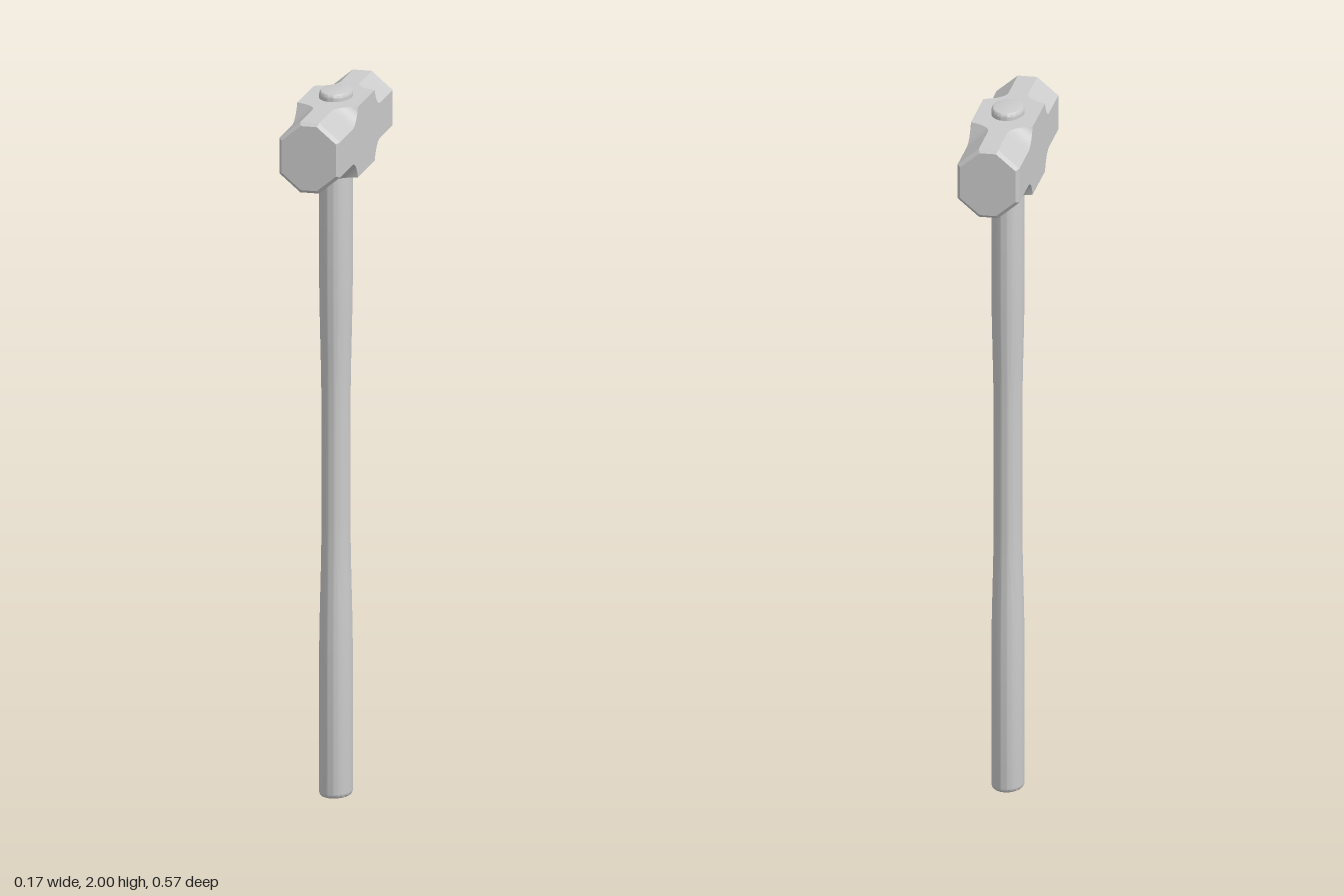
import * as THREE from 'three';
import { toCreasedNormals } from 'three/addons/utils/BufferGeometryUtils.js';

const HALF_W = 0.086, HALF_H = 0.1, HALF_L = 0.286, HEAD_Y = 1.88;
const CUT_X = 0.059, CUT_Y = 0.05; // full size of the corner chamfers

// Octagonal cross-section, counter-clockwise seen from +z; cut 0 gives a plain rectangle
function section(z, cut, inset = 0) {
  const w = HALF_W - inset, h = HALF_H - inset;
  const cx = CUT_X * cut - inset * 0.5, cy = CUT_Y * cut - inset * 0.5;
  return [
    [w, -h + cy], [w, h - cy], [w - cx, h], [-w + cx, h],
    [-w, h - cy], [-w, -h + cy], [-w + cx, -h], [w - cx, -h],
  ].map(([x, y]) => new THREE.Vector3(x, y, z));
}

// Half of the stations along the head: square middle, concave run-out, chamfered end
function headStations() {
  const list = [];
  const a0 = 0.42, steps = 10, zIn = 0.088, zOut = 0.146;
  for (let i = 0; i <= steps; i++) {
    const a = a0 + (Math.PI / 2 - a0) * i / steps;
    const z = zIn + (zOut - zIn) * (1 - Math.cos(a) / Math.cos(a0));
    list.push([z, (Math.sin(a) - Math.sin(a0)) / (1 - Math.sin(a0)), 0]);
  }
  list.push([HALF_L - 0.01, 1, 0], [HALF_L, 1, 0.009]);
  return list;
}

function headGeometry() {
  const half = headStations();
  const all = [...half.map(([z, c, i]) => [-z, c, i]).reverse(), ...half];
  const rings = all.map(s => section(...s));
  const pos = [];
  const tri = (a, b, c) => {
    const area = b.clone().sub(a).cross(c.clone().sub(a)).length();
    if (area > 1e-9) pos.push(...a.toArray(), ...b.toArray(), ...c.toArray());
  };
  for (let r = 0; r < rings.length - 1; r++) {
    const p = rings[r], q = rings[r + 1];
    for (let i = 0; i < 8; i++) {
      const j = (i + 1) % 8;
      tri(p[i], p[j], q[j]);
      tri(p[i], q[j], q[i]);
    }
  }
  // Striking faces
  const back = rings[0], front = rings[rings.length - 1];
  for (let i = 1; i < 7; i++) {
    tri(front[0], front[i], front[i + 1]);
    tri(back[0], back[i + 1], back[i]);
  }
  const geo = new THREE.BufferGeometry();
  geo.setAttribute('position', new THREE.Float32BufferAttribute(pos, 3));
  return toCreasedNormals(geo, 0.4);
}

// Oval shaft with a slimmer waist and rounded ends
function handleGeometry() {
  const pts = [new THREE.Vector2(0, 0)];
  const edge = 0.012, round = 0.14, n = 5;
  for (let i = 0; i <= n; i++) {
    const a = i / n * Math.PI / 2;
    pts.push(new THREE.Vector2(1 - round * (1 - Math.sin(a)), edge * (1 - Math.cos(a))));
  }
  const smooth = t => t * t * (3 - 2 * t);
  for (let i = 0; i <= 8; i++) pts.push(new THREE.Vector2(1 - 0.14 * smooth(i / 8), 0.38 + 0.4 * i / 8));
  for (let i = 0; i <= 8; i++) pts.push(new THREE.Vector2(0.86 + 0.14 * smooth(i / 8), 1.08 + 0.42 * i / 8));
  for (let i = n; i >= 0; i--) {
    const a = i / n * Math.PI / 2;
    pts.push(new THREE.Vector2(1 - round * (1 - Math.sin(a)), 2 - edge * (1 - Math.cos(a))));
  }
  pts.push(new THREE.Vector2(0, 2));
  const geo = new THREE.LatheGeometry(pts, 48);
  geo.scale(0.045, 1, 0.061);
  return toCreasedNormals(geo, 0.6);
}

export function createModel() {
  const group = new THREE.Group();
  group.name = 'sledgehammer';
  const material = new THREE.MeshStandardMaterial({ color: 0xcccccc });

  const head = new THREE.Mesh(headGeometry(), material);
  head.name = 'head';
  head.position.y = HEAD_Y;

  const handle = new THREE.Mesh(handleGeometry(), material);
  handle.name = 'handle';

  group.add(head, handle);
  return group;
}
